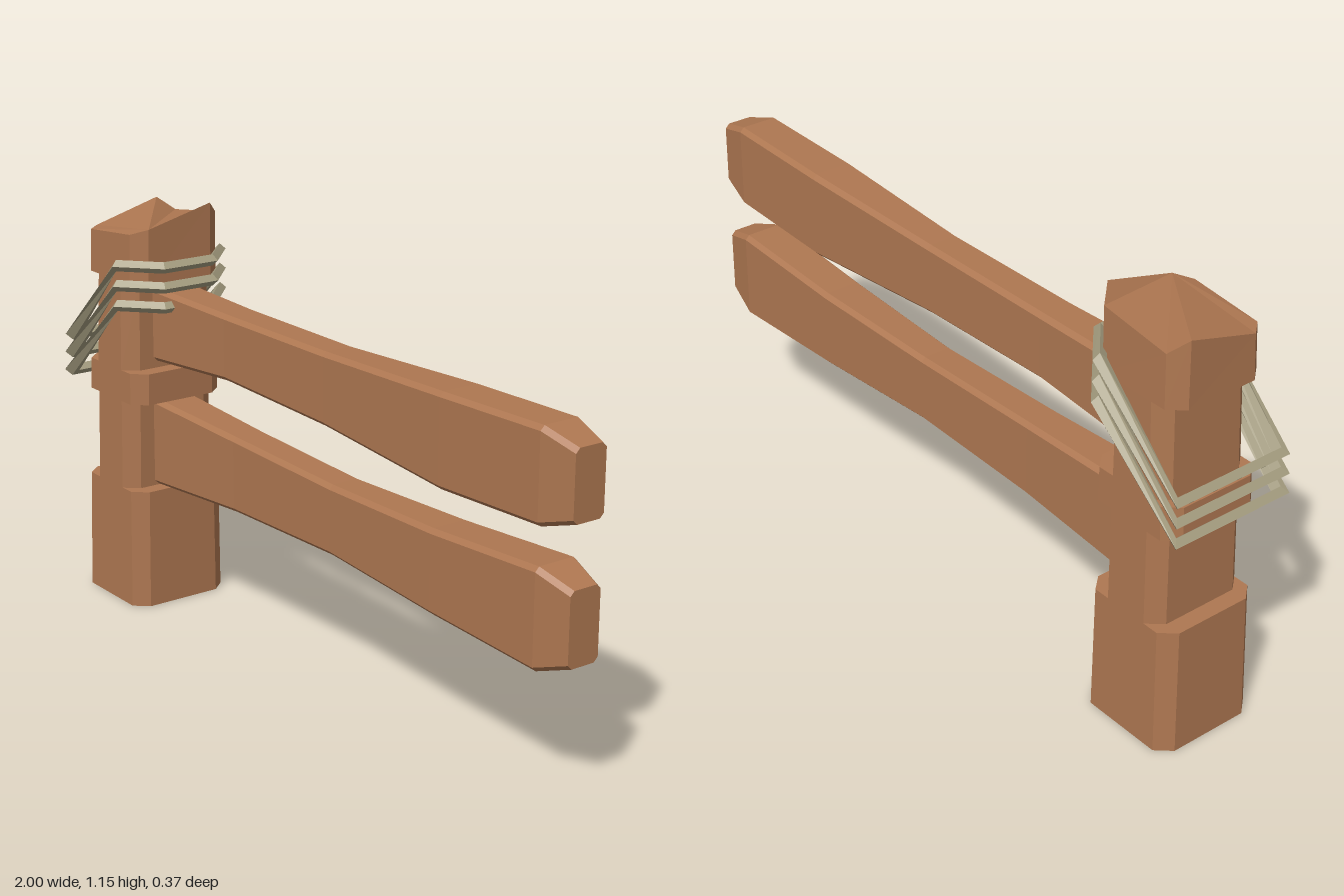
import * as THREE from 'three';

// Skins a row of equal-length rings with flat faces; caps the ends or closes the loop.
function loft(rings, closed = false) {
  const pos = [];
  const tri = (a, b, c) => pos.push(...a, ...b, ...c);
  const n = rings[0].length;
  const count = closed ? rings.length : rings.length - 1;
  for (let r = 0; r < count; r++) {
    const p = rings[r], q = rings[(r + 1) % rings.length];
    for (let i = 0; i < n; i++) {
      const j = (i + 1) % n;
      tri(p[i], p[j], q[j]);
      tri(p[i], q[j], q[i]);
    }
  }
  if (!closed) {
    const a = rings[0], b = rings[rings.length - 1];
    for (let i = 1; i < n - 1; i++) {
      tri(a[0], a[i + 1], a[i]);
      tri(b[0], b[i], b[i + 1]);
    }
  }
  const g = new THREE.BufferGeometry();
  g.setAttribute('position', new THREE.Float32BufferAttribute(pos, 3));
  g.computeVertexNormals();
  return g;
}

// Rectangle with cut corners, as eight 2D points
function cutRect(a0, a1, b0, b1, ca, cb) {
  return [
    [a1, b1 - cb], [a1, b0 + cb], [a1 - ca, b0], [a0 + ca, b0],
    [a0, b0 + cb], [a0, b1 - cb], [a0 + ca, b1], [a1 - ca, b1],
  ];
}

// Post: levels of [y, x min, x max], notched where the rails sit
function postGeometry() {
  const levels = [
    [0, -0.97, -0.675], [0.347, -0.957, -0.672],
    [0.347, -0.912, -0.717], [0.605, -0.903, -0.713],
    [0.605, -0.948, -0.667], [0.695, -0.943, -0.665],
    [0.695, -0.905, -0.712], [0.95, -0.892, -0.708],
    [0.95, -0.935, -0.66], [1.1, -0.929, -0.655],
  ];
  const topHeights = [1.105, 1.155, 1.12, 1.09, 1.125, 1.07, 1.07, 1.09];
  return loft(levels.map(([y, x0, x1], k) => {
    const z = 0.152 - 0.011 * y;
    const last = k === levels.length - 1;
    return cutRect(x0, x1, -z, z, 0.035, 0.04)
      .map(([x, zz], i) => [x, last ? topHeights[i] : y, zz]);
  }));
}

// Rail: sections of [x, bottom, top, half depth]
function railGeometry(sections) {
  return loft(sections.map(([x, y0, y1, z]) =>
    cutRect(y0, y1, -z, z, 0.012, 0.012).map(([y, zz]) => [x, y, zz]).reverse()));
}

// Rope: closed loop of diamond section, level in front and sagging behind
function ropeGeometry(yFront, yBack, inset) {
  const r = 0.016;
  const half = [
    [-0.984 + inset, yBack, 0.165 - inset / 2, -1, 0.9],
    [-0.715, yFront, 0.17, 0.4, 1],
    [-0.615, yFront, 0.08, 1, 0.4],
  ];
  const mirror = half.map(([x, y, z, ox, oz]) => [x, y, -z, ox, -oz]).reverse();
  return loft([...half, ...mirror].map(([x, y, z, ox, oz]) => [
    [x + ox * r, y, z + oz * r],
    [x, y - r, z],
    [x - ox * r, y, z - oz * r],
    [x, y + r, z],
  ]), true);
}

export function createModel() {
  const group = new THREE.Group();
  const wood = new THREE.MeshStandardMaterial({ color: 0xae7751 });
  wood.name = 'wood';
  const rope = new THREE.MeshStandardMaterial({ color: 0xa39b7e });
  rope.name = 'rope';
  const add = (name, geometry, material) => {
    const mesh = new THREE.Mesh(geometry, material);
    mesh.name = name;
    group.add(mesh);
  };

  add('post', postGeometry(), wood);

  add('upperRail', railGeometry([
    [-0.74, 0.713, 0.928, 0.06], [-0.37, 0.737, 0.92, 0.052],
    [0.07, 0.722, 0.918, 0.05], [0.55, 0.69, 0.933, 0.064],
    [0.9, 0.7, 0.94, 0.062], [1, 0.73, 0.91, 0.046],
  ]), wood);

  add('lowerRail', railGeometry([
    [-0.74, 0.349, 0.606, 0.062], [-0.33, 0.374, 0.588, 0.053],
    [0.1, 0.381, 0.573, 0.05], [0.52, 0.359, 0.582, 0.06],
    [0.9, 0.345, 0.604, 0.064], [1, 0.38, 0.572, 0.046],
  ]), wood);

  // Three stacked rope loops round the post and upper rail
  for (let i = 0; i < 3; i++) {
    add('ropeLoop' + (i + 1), ropeGeometry(0.892 + i * 0.056, 0.645 + i * 0.053, i * 0.003), rope);
  }
  return group;
}
